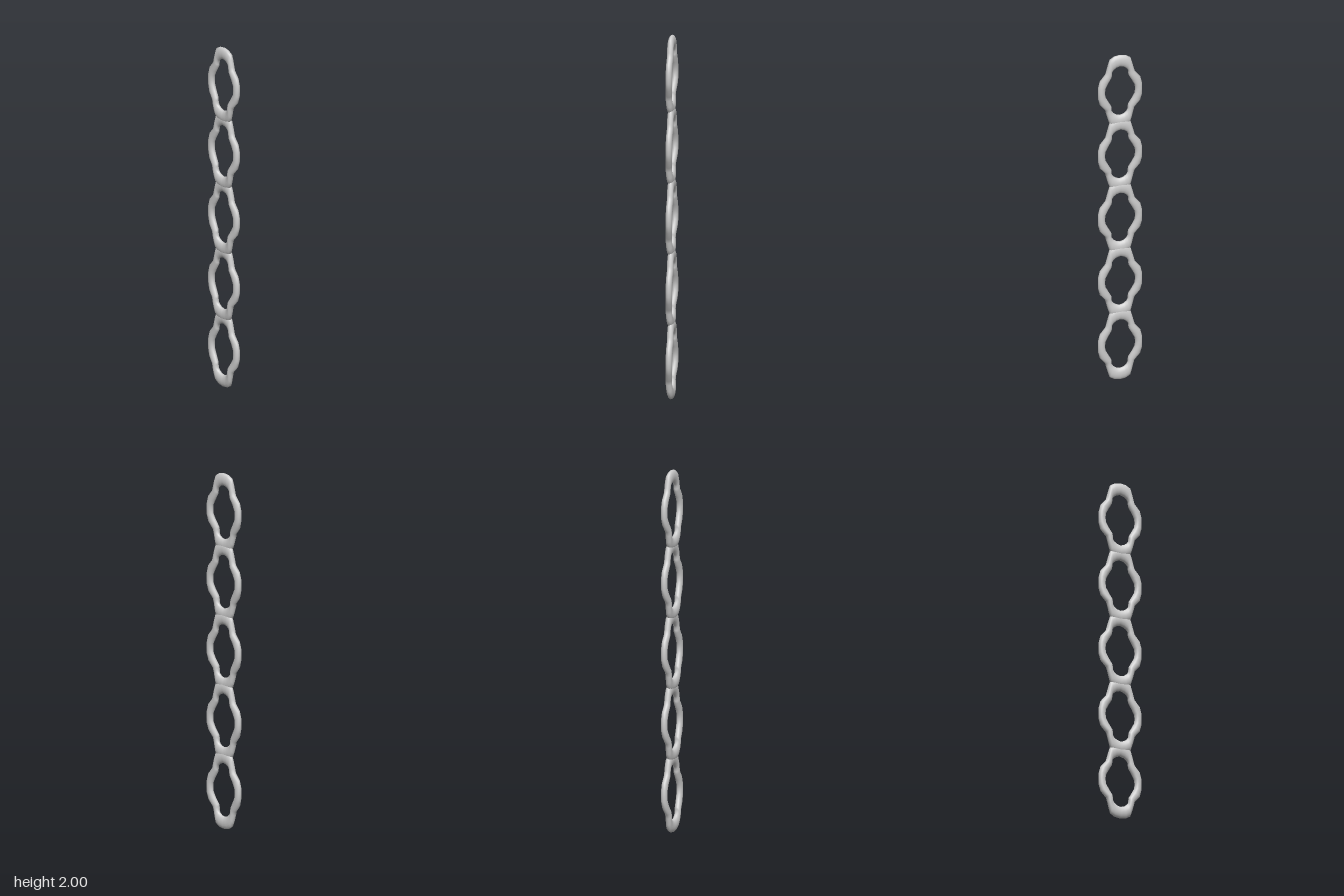
import * as THREE from 'three';

// Quarter of a link, from top centre to side: outer x, outer y, inner x, inner y
const QUARTER = [
  [0, 0.22, 0, 0.151],
  [0.032, 0.215, 0.021, 0.145],
  [0.058, 0.199, 0.037, 0.133],
  [0.067, 0.17, 0.046, 0.119],
  [0.077, 0.133, 0.046, 0.104],
  [0.083, 0.11, 0.048, 0.09],
  [0.114, 0.072, 0.067, 0.056],
  [0.124, 0.032, 0.082, 0.027],
  [0.125, 0, 0.085, 0],
];
const SIDES = 16;
const HALF_DEPTH = 0.0175;

// Forward offset of the lower shoulders, by quarter index
const BULGE = [0.003, 0.003, 0.004, 0.006, 0.0075, 0.006, 0.002, 0, 0];

// Closed ring of rounded cross-sections following the mirrored quarter
function linkGeometry() {
  const stations = [];
  const add = (i, sx, sy) => {
    const [ox, oy, ix, iy] = QUARTER[i];
    const z = -0.0045 + (sy < 0 ? BULGE[i] : 0);
    stations.push([ox * sx, oy * sy, ix * sx, iy * sy, z]);
  };
  for (let i = 0; i <= 8; i++) add(i, 1, 1);
  for (let i = 7; i >= 0; i--) add(i, 1, -1);
  for (let i = 1; i <= 8; i++) add(i, -1, -1);
  for (let i = 7; i >= 1; i--) add(i, -1, 1);

  const positions = [];
  const index = [];
  const n = stations.length;
  stations.forEach(([ox, oy, ix, iy, z], k) => {
    for (let j = 0; j < SIDES; j++) {
      const a = (j / SIDES) * Math.PI * 2;
      const t = (1 + Math.cos(a)) / 2; // 1 on the outer edge, 0 on the inner edge
      positions.push(ix + (ox - ix) * t, iy + (oy - iy) * t, z + HALF_DEPTH * Math.sin(a));
      const k2 = (k + 1) % n;
      const j2 = (j + 1) % SIDES;
      const p = k * SIDES + j;
      const q = k * SIDES + j2;
      const r = k2 * SIDES + j;
      const s = k2 * SIDES + j2;
      index.push(p, q, r, q, s, r);
    }
  });
  const geometry = new THREE.BufferGeometry();
  geometry.setAttribute('position', new THREE.Float32BufferAttribute(positions, 3));
  geometry.setIndex(index);
  geometry.computeVertexNormals();
  return geometry;
}

export function createModel() {
  const group = new THREE.Group();
  group.name = 'chain';
  const material = new THREE.MeshStandardMaterial({ color: 0xcccccc });
  const geometry = linkGeometry();

  // Five identical links, overlapping at their ends
  const count = 5;
  const pitch = (2 - 0.44) / (count - 1);
  for (let i = 0; i < count; i++) {
    const link = new THREE.Mesh(geometry, material);
    link.name = `link${i + 1}`;
    link.position.y = 0.22 + i * pitch;
    group.add(link);
  }
  return group;
}
